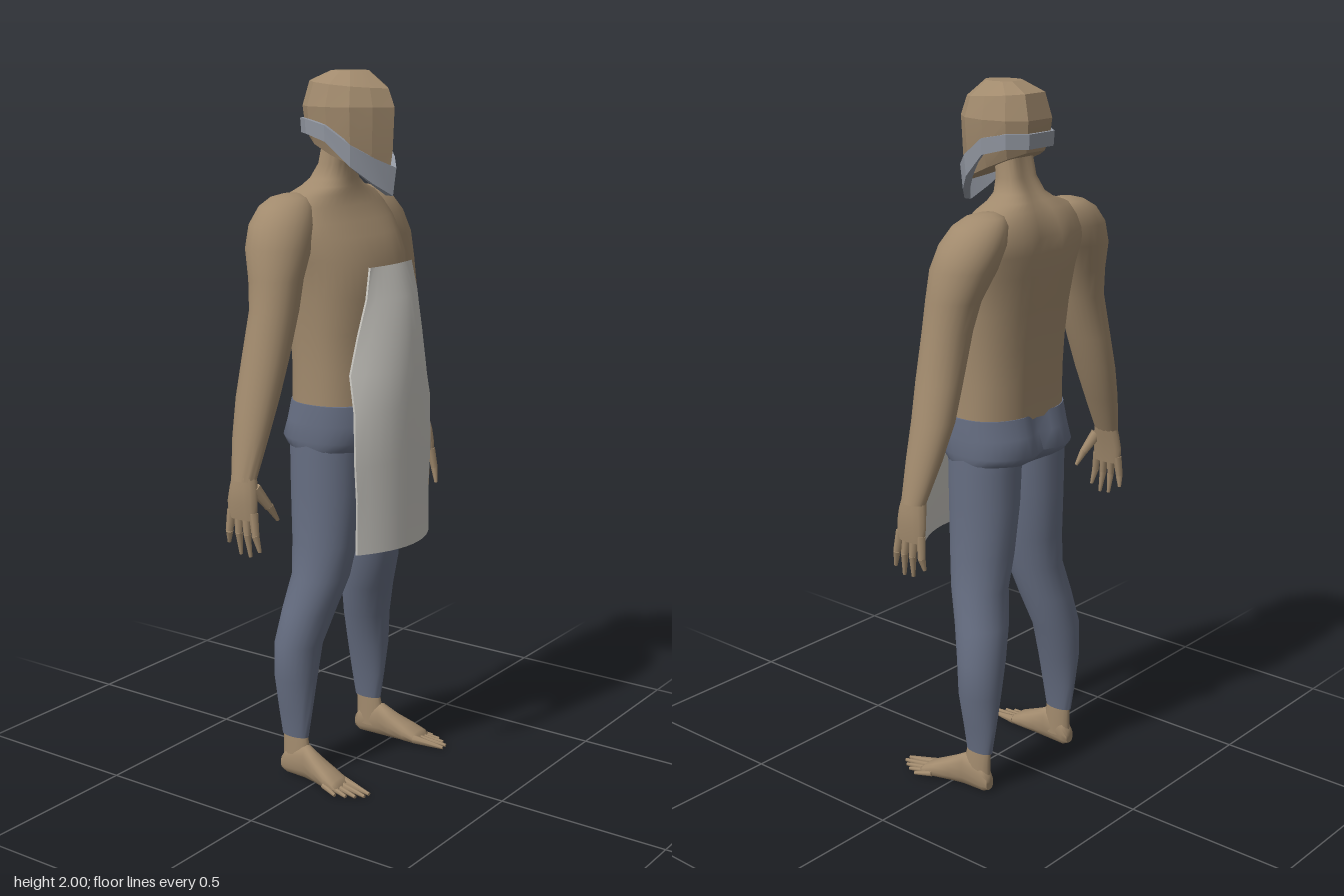
import * as THREE from 'three';
import { toCreasedNormals } from 'three/addons/utils/BufferGeometryUtils.js';

const mat = (name, color) => {
  const m = new THREE.MeshStandardMaterial({ color });
  m.name = name;
  return m;
};

// Joins closed loops of points into a surface, optionally capped or wrapped end to end.
function skin(loops, { cap = true, wrap = false, crease = 1.1 } = {}) {
  const n = loops[0].length, pos = loops.flat(2), idx = [];
  const rows = wrap ? loops.length : loops.length - 1;
  for (let r = 0; r < rows; r++) {
    const a = r * n, b = ((r + 1) % loops.length) * n;
    for (let i = 0; i < n; i++) {
      const j = (i + 1) % n;
      idx.push(a + i, b + i, a + j, a + j, b + i, b + j);
    }
  }
  if (cap && !wrap) {
    [0, loops.length - 1].forEach((r) => {
      const c = pos.length / 3;
      for (let k = 0; k < 3; k++) pos.push(loops[r].reduce((s, p) => s + p[k], 0) / n);
      for (let i = 0; i < n; i++) {
        const p = r * n + i, q = r * n + (i + 1) % n;
        idx.push(...(r === 0 ? [c, p, q] : [c, q, p]));
      }
    });
  }
  const g = new THREE.BufferGeometry();
  g.setAttribute('position', new THREE.Float32BufferAttribute(pos, 3));
  g.setIndex(idx);
  return toCreasedNormals(g, crease);
}

// Rounded loft along y; ring = [y, x0, x1, z0, z1]. The groove dents the back along x = 0.
function loft(rings, { power = 2, groove = 0, n = 24 } = {}) {
  const bend = (v) => Math.sign(v) * Math.abs(v) ** (2 / power);
  return skin(rings.map(([y, x0, x1, z0, z1]) => Array.from({ length: n }, (_, i) => {
    const a = (i / n) * Math.PI * 2;
    const x = (x0 + x1) / 2 + ((x1 - x0) / 2) * bend(Math.cos(a));
    let z = (z0 + z1) / 2 + ((z1 - z0) / 2) * bend(Math.sin(a));
    if (Math.sin(a) < 0) z += groove * Math.exp(-((x / 0.04) ** 2));
    return [x, y, z];
  })));
}

const sided = (rings, s) => rings.map(([y, a, b, c, d]) => (s > 0 ? [y, a, b, c, d] : [y, -b, -a, c, d]));

// Tapered digit from point a to point b
function digit(a, b, r0, r1, s) {
  const p = new THREE.Vector3(a[0] * s, a[1], a[2]), q = new THREE.Vector3(b[0] * s, b[1], b[2]);
  const d = q.clone().sub(p);
  const g = new THREE.CylinderGeometry(r1, r0, d.length(), 7);
  g.applyQuaternion(new THREE.Quaternion().setFromUnitVectors(new THREE.Vector3(0, 1, 0), d.normalize()));
  return g.translate(...p.add(q).multiplyScalar(0.5).toArray());
}

export function createModel() {
  const model = new THREE.Group();
  const skinMat = mat('skin', 0xa18a6d), trouserMat = mat('trousers', 0x666e82);
  const apronMat = mat('apron', 0xc6c4be), strapMat = mat('strap', 0x9297a1);
  const add = (name, geo, material, parent = model) => {
    const m = new THREE.Mesh(geo, material);
    m.name = name;
    parent.add(m);
  };

  // Torso and neck: [y, half width, back, front]
  add('torso', loft([
    [1.09, 0.183, -0.155, 0.11], [1.2, 0.18, -0.155, 0.105], [1.3, 0.184, -0.16, 0.105],
    [1.4, 0.19, -0.172, 0.11], [1.5, 0.202, -0.186, 0.097], [1.56, 0.22, -0.192, 0.062],
    [1.6, 0.22, -0.19, 0.035], [1.64, 0.2, -0.178, 0.008], [1.67, 0.165, -0.163, -0.005],
    [1.69, 0.105, -0.148, -0.01], [1.71, 0.073, -0.135, -0.015], [1.75, 0.06, -0.112, -0.018],
    [1.83, 0.056, -0.095, -0.01],
  ].map(([y, w, b, f]) => [y, -w, w, b, f]), { power: 2.4, groove: 0.014, n: 40 }), skinMat);

  // Hips
  add('hips', loft([
    [0.92, 0.14, -0.08, 0.03], [0.955, 0.18, -0.13, 0.075], [0.98, 0.188, -0.172, 0.105],
    [1.0, 0.191, -0.19, 0.126], [1.05, 0.191, -0.172, 0.128], [1.105, 0.188, -0.158, 0.122],
  ].map(([y, w, b, f]) => [y, -w, w, b, f]), { power: 2.4, groove: 0.025, n: 40 }), trouserMat);

  for (const s of [1, -1]) {
    const side = s > 0 ? 'left' : 'right';

    // Arm
    const arm = new THREE.Group();
    arm.name = side + 'Arm';
    model.add(arm);
    add('armAndShoulder', loft(sided([
      [0.94, 0.398, 0.452, -0.105, -0.03], [1.05, 0.345, 0.43, -0.125, -0.02],
      [1.15, 0.3, 0.405, -0.137, -0.012], [1.25, 0.264, 0.382, -0.137, -0.004],
      [1.38, 0.217, 0.353, -0.135, 0], [1.46, 0.196, 0.34, -0.15, 0.002],
      [1.54, 0.15, 0.33, -0.176, 0.004], [1.6, 0.12, 0.306, -0.182, -0.006],
      [1.645, 0.11, 0.268, -0.17, -0.026], [1.668, 0.12, 0.225, -0.15, -0.05],
      [1.677, 0.14, 0.19, -0.12, -0.08],
    ], s)), skinMat, arm);

    // Hand
    add('palm', loft(sided([
      [0.835, 0.42, 0.45, -0.112, -0.018], [0.88, 0.412, 0.455, -0.115, -0.018],
      [0.92, 0.402, 0.454, -0.11, -0.022], [0.95, 0.395, 0.45, -0.104, -0.03],
    ], s), { n: 14 }), skinMat, arm);
    [[-0.028, -0.008, 0.75], [-0.053, -0.04, 0.732], [-0.078, -0.072, 0.735], [-0.102, -0.113, 0.762]]
      .forEach(([z0, z1, y1], i) => {
        const knuckle = [0.44, 0.795, (z0 + z1) / 2];
        add('finger' + i, digit([0.435, 0.855, z0], knuckle, 0.013, 0.0105, s), skinMat, arm);
        add('fingertip' + i, digit(knuckle, [0.435, y1, z1], 0.0105, 0.005, s), skinMat, arm);
      });
    add('thumb', digit([0.42, 0.92, -0.035], [0.388, 0.865, -0.012], 0.018, 0.012, s), skinMat, arm);
    add('thumbTip', digit([0.388, 0.867, -0.012], [0.366, 0.825, 0], 0.012, 0.005, s), skinMat, arm);

    // Trouser leg
    add(side + 'TrouserLeg', loft(sided([
      [0.12, 0.162, 0.205, -0.13, -0.042], [0.2, 0.15, 0.215, -0.142, -0.03],
      [0.3, 0.125, 0.237, -0.15, -0.02], [0.4, 0.1, 0.24, -0.152, -0.013],
      [0.5, 0.067, 0.222, -0.14, 0.015], [0.6, 0.045, 0.202, -0.122, 0.048],
      [0.7, 0.025, 0.192, -0.13, 0.064], [0.85, 0.008, 0.189, -0.14, 0.074],
      [0.95, 0.002, 0.19, -0.142, 0.076], [1.04, 0, 0.188, -0.15, 0.08],
    ], s)), trouserMat);

    // Foot, lofted along z then laid down
    const foot = new THREE.Group();
    foot.name = side + 'Foot';
    model.add(foot);
    add('ankle', loft(sided([
      [0.03, 0.163, 0.209, -0.126, -0.03], [0.08, 0.164, 0.207, -0.124, -0.035],
      [0.13, 0.165, 0.203, -0.126, -0.045],
    ], s), { n: 16 }), skinMat, foot);
    add('sole', loft(sided([
      [-0.127, 0.172, 0.202, -0.05, -0.008], [-0.11, 0.164, 0.208, -0.075, 0],
      [-0.04, 0.164, 0.214, -0.1, 0], [0, 0.164, 0.225, -0.077, 0],
      [0.05, 0.165, 0.24, -0.052, 0], [0.085, 0.168, 0.246, -0.035, 0], [0.1, 0.175, 0.24, -0.022, -0.004],
    ], s), { power: 2.6, n: 16 }).rotateX(Math.PI / 2), skinMat, foot);
    [[0.18, 0.193, 0.18, 0.014], [0.199, 0.213, 0.178, 0.011], [0.214, 0.23, 0.158, 0.01],
      [0.227, 0.244, 0.135, 0.01], [0.237, 0.255, 0.105, 0.009]].forEach(([x0, x1, z1, r], i) =>
      add('toe' + i, digit([x0, 0.017, 0.085 - i * 0.008], [x1, 0.008, z1], r, 0.005, s), skinMat, foot));
  }

  // Faceted head with a ridge down the face
  const half = [[0.05, -0.145], [0.09, -0.1], [0.103, -0.03], [0.09, 0.04], [0.05, 0.088]];
  const outline = [...half, [0, 0.125], ...half.map(([x, z]) => [-x, z]).reverse()];
  add('head', skin([
    [1.765, 0.78, 0.88, -0.42], [1.82, 0.93, 0.96, -0.25], [1.905, 1, 1, 0],
    [1.962, 0.84, 0.86, -0.08], [2, 0.45, 0.4, 0],
  ].map(([y, sx, sz, tilt]) => outline.map(([x, z]) => {
    const zz = (z + 0.015) * sz - 0.015;
    return [x * sx, y + tilt * zz, zz];
  })), { crease: 0.2 }), skinMat);

  // Strap round the back of the head, dipping to a pointed chin guard
  add('chinStrap', skin(outline.map(([x, z]) => {
    const t = Math.max(0, (z + 0.05) / 0.175);
    const y = 1.852 - 0.145 * t, h = 0.02 + 0.018 * t;
    const at = (k, dy) => [x * k * (1 - 0.08 * t), y + dy, (z + 0.01) * k - 0.01];
    return [at(1.05, h), at(1.03 - 0.06 * t, -h), at(0.8, -h), at(0.8, h)];
  }), { wrap: true, crease: 0.3 }), strapMat);

  // Apron: a thin bowed sheet, [y, half width, z at centre, z at edge]
  const rows = [
    [0.7, 0.18, 0.195, 0.13], [0.85, 0.178, 0.194, 0.13], [0.95, 0.186, 0.196, 0.13],
    [1.1, 0.184, 0.196, 0.126], [1.2, 0.176, 0.195, 0.106], [1.3, 0.15, 0.186, 0.112],
    [1.4, 0.123, 0.166, 0.122], [1.485, 0.1, 0.127, 0.117],
  ];
  const ts = Array.from({ length: 13 }, (_, i) => 1 - i / 6);
  add('apron', skin(rows.map(([y, w, zc, ze]) => {
    const front = ts.map((t) => [t * w, y, ze + (zc - ze) * (1 - t * t)]);
    return [...front, ...front.map(([x, yy, z]) => [x, yy, z - 0.006]).reverse()];
  }), { cap: false, crease: 0.7 }), apronMat);

  return model;
}
